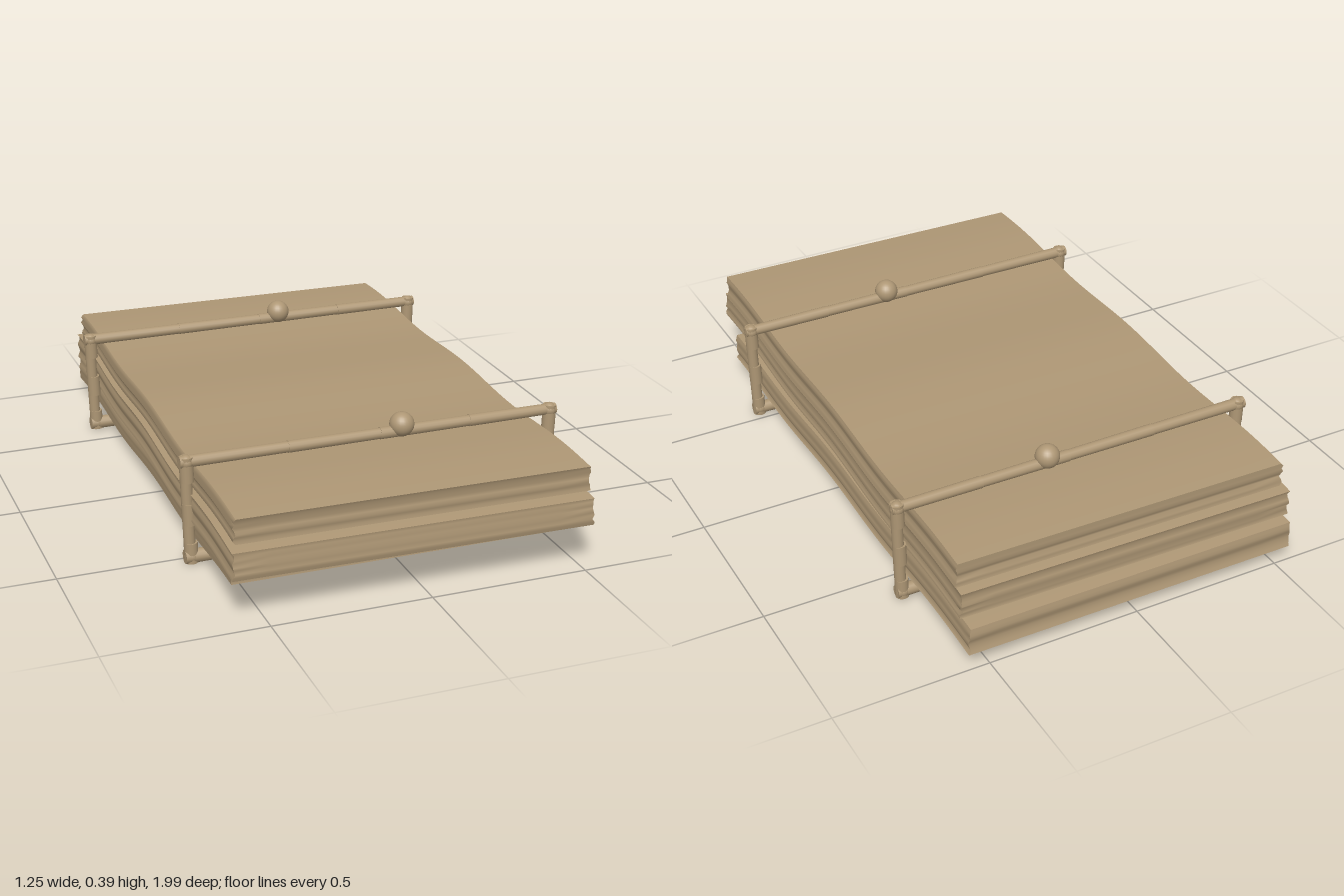
import * as THREE from 'three';

const tan = new THREE.MeshStandardMaterial({ color: 0xae9775 });
tan.name = 'tan';

// Seeded random numbers
function seeded(seed) {
  let s = seed;
  return () => (s = (s * 16807) % 2147483647) / 2147483647;
}

function addMesh(parent, geometry, name, x = 0, y = 0, z = 0) {
  const mesh = new THREE.Mesh(geometry, tan);
  mesh.name = name;
  mesh.position.set(x, y, z);
  parent.add(mesh);
  return mesh;
}

// A gently warped slab with uneven layered edges
function slab({ name, width, bottom, top, back, front, x, turn, seed }) {
  const rows = 8;
  const height = top - bottom, length = front - back, midZ = (front + back) / 2;
  const geo = new THREE.BoxGeometry(width, height, length, 10, rows, 48);
  const rand = seeded(seed);
  const layers = Array.from({ length: rows + 1 }, () => [rand(), rand(), rand(), rand()].map(v => v * 0.01));
  const p = geo.attributes.position;
  for (let i = 0; i < p.count; i++) {
    let px = p.getX(i), py = p.getY(i), pz = p.getZ(i);
    const layer = layers[Math.round((py / height + 0.5) * rows)];
    const worldZ = pz + midZ;
    // Pull the rim of every layer in by its own small amount
    if (px > width / 2 - 1e-4) px -= layer[0];
    else if (px < -width / 2 + 1e-4) px += layer[1];
    if (pz > length / 2 - 1e-4) pz -= layer[2];
    else if (pz < -length / 2 + 1e-4) pz += layer[3];
    // Ripple along the length
    py += 0.007 * Math.cos(worldZ * Math.PI * 2 / 0.76) - 0.004 * Math.max(0, -worldZ - 0.6);
    p.setXYZ(i, px, py, pz);
  }
  geo.computeVertexNormals();
  const mesh = new THREE.Mesh(geo, tan);
  mesh.name = name;
  mesh.position.set(x, (bottom + top) / 2, midZ);
  mesh.rotation.y = turn;
  return mesh;
}

// A straight rod between two points in the x-y plane
function rod(parent, name, x1, y1, x2, y2, r1, r2 = r1) {
  const dx = x2 - x1, dy = y2 - y1;
  const geo = new THREE.CylinderGeometry(r2, r1, Math.hypot(dx, dy), 14);
  const mesh = addMesh(parent, geo, name, (x1 + x2) / 2, (y1 + y2) / 2);
  mesh.rotation.z = Math.atan2(dy, dx) - Math.PI / 2;
}

// A rail made of sections that taper slightly towards each joint
function rail(parent, name, stops, y, r) {
  for (let i = 0; i < stops.length - 1; i++) {
    rod(parent, name, stops[i], y, stops[i + 1], y, r, r * 0.92);
  }
}

function strap(z) {
  const g = new THREE.Group();
  g.name = 'strap';
  g.position.z = z;
  rail(g, 'topRail', [-0.622, -0.28, 0.02, 0.32, 0.62], 0.335, 0.019);
  rail(g, 'bottomRail', [-0.612, -0.32, -0.025, 0.27, 0.61], 0.023, 0.0225);
  for (const s of [-1, 1]) {
    // Upright sections, leaning outward to the top
    const ups = [0.004, 0.07, 0.13, 0.2, 0.27, 0.35];
    for (let i = 0; i < ups.length - 1; i++) {
      const r = i % 2 ? 0.018 : 0.0215;
      const at = y => s * (0.612 + y * 0.03 - r);
      rod(g, 'upright', at(ups[i]), ups[i], at(ups[i + 1]), ups[i + 1], r);
    }
    // Rounded corners
    addMesh(g, new THREE.SphereGeometry(0.023, 14, 10), 'cornerJoint', s * 0.59, 0.024);
    addMesh(g, new THREE.SphereGeometry(0.023, 14, 10), 'cornerJoint', s * 0.6, 0.333);
  }
  // Round knot on top
  addMesh(g, new THREE.SphereGeometry(0.039, 24, 16), 'knot', 0.093, 0.356);
  return g;
}

export function createModel() {
  const model = new THREE.Group();
  model.name = 'strappedSlabs';
  model.add(
    slab({ name: 'bottomSlab', width: 1.12, bottom: 0.052, top: 0.14, back: -0.995, front: 0.83, x: 0, turn: -0.004, seed: 11 }),
    slab({ name: 'middleSlab', width: 1.13, bottom: 0.146, top: 0.232, back: -0.955, front: 0.985, x: -0.02, turn: -0.02, seed: 47 }),
    slab({ name: 'topSlab', width: 1.12, bottom: 0.236, top: 0.317, back: -0.92, front: 0.945, x: -0.012, turn: -0.017, seed: 83 }),
    strap(0.535),
    strap(-0.605),
  );
  return model;
}
